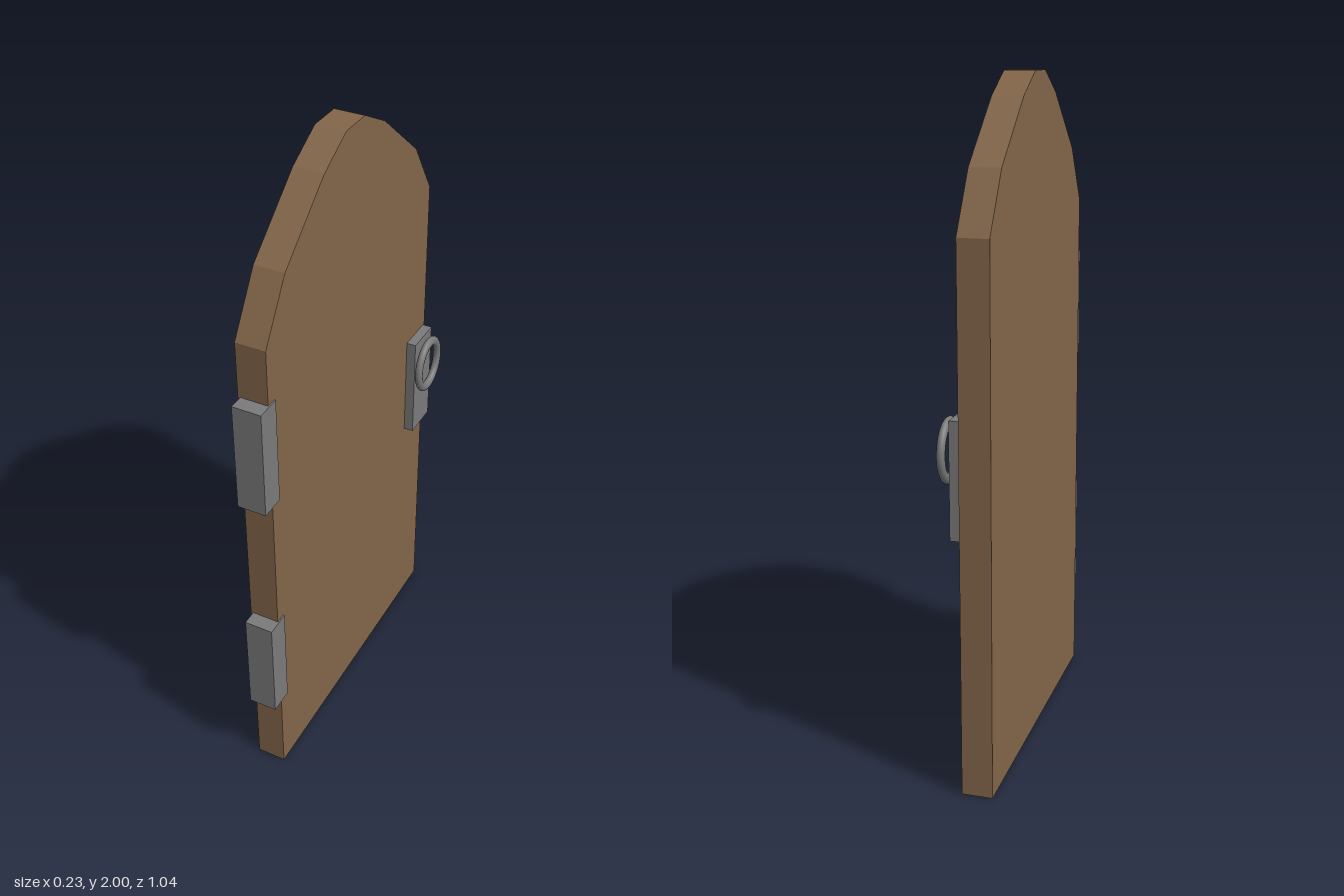
import * as THREE from 'three';

export function createModel() {
  const model = new THREE.Group();
  model.name = 'archedDoor';

  const wood = new THREE.MeshStandardMaterial({ color: 0x83664a });
  wood.name = 'brown wood';
  const iron = new THREE.MeshStandardMaterial({ color: 0x7a7a7a });
  iron.name = 'grey iron';

  // Everything hangs on a slightly swung leaf: local x = thickness, local z = width
  const leaf = new THREE.Group();
  leaf.name = 'doorLeaf';
  leaf.position.set(-0.031, 0, -0.02);
  leaf.rotation.y = -0.084;
  model.add(leaf);

  const add = (name, geometry, material) => {
    const mesh = new THREE.Mesh(geometry, material);
    mesh.name = name;
    leaf.add(mesh);
    return mesh;
  };
  // Box given by its lower and upper corners
  const addBox = (name, [x0, y0, z0], [x1, y1, z1]) =>
    add(name, new THREE.BoxGeometry(x1 - x0, y1 - y0, z1 - z0), iron)
      .position.set((x0 + x1) / 2, (y0 + y1) / 2, (z0 + z1) / 2);

  // Door panel with a faceted arch, mirrored about its middle
  const thickness = 0.091;
  const half = [[0.493, 0], [0.493, 1.59], [0.385, 1.76], [0.173, 1.935], [0.053, 2]];
  const outline = [...half, ...half.map(([w, y]) => [-w, y]).reverse()];
  const panel = new THREE.ExtrudeGeometry(
    new THREE.Shape(outline.map(([w, y]) => new THREE.Vector2(w, y))),
    { depth: thickness, bevelEnabled: false }
  );
  panel.translate(0, 0, -thickness / 2).rotateY(-Math.PI / 2);
  add('doorPanel', panel, wood);

  // Two hinge blocks wrapping the edge
  for (const [name, y] of [['lowerHinge', 0.29], ['upperHinge', 1.08]]) {
    addBox(name, [-0.038, y, 0.461], [0.05, y + 0.34, 0.538]);
  }

  // Latch plate and ring pull
  addBox('latchPlate', [0.045, 0.76, -0.483], [0.0757, 1.1, -0.3625]);
  const ring = new THREE.TorusGeometry(0.0795, 0.016, 12, 32);
  ring.scale(0.88, 1, 0.75).rotateY(Math.PI / 2);
  add('ringPull', ring, iron).position.set(0.095, 1, -0.423);

  return model;
}
